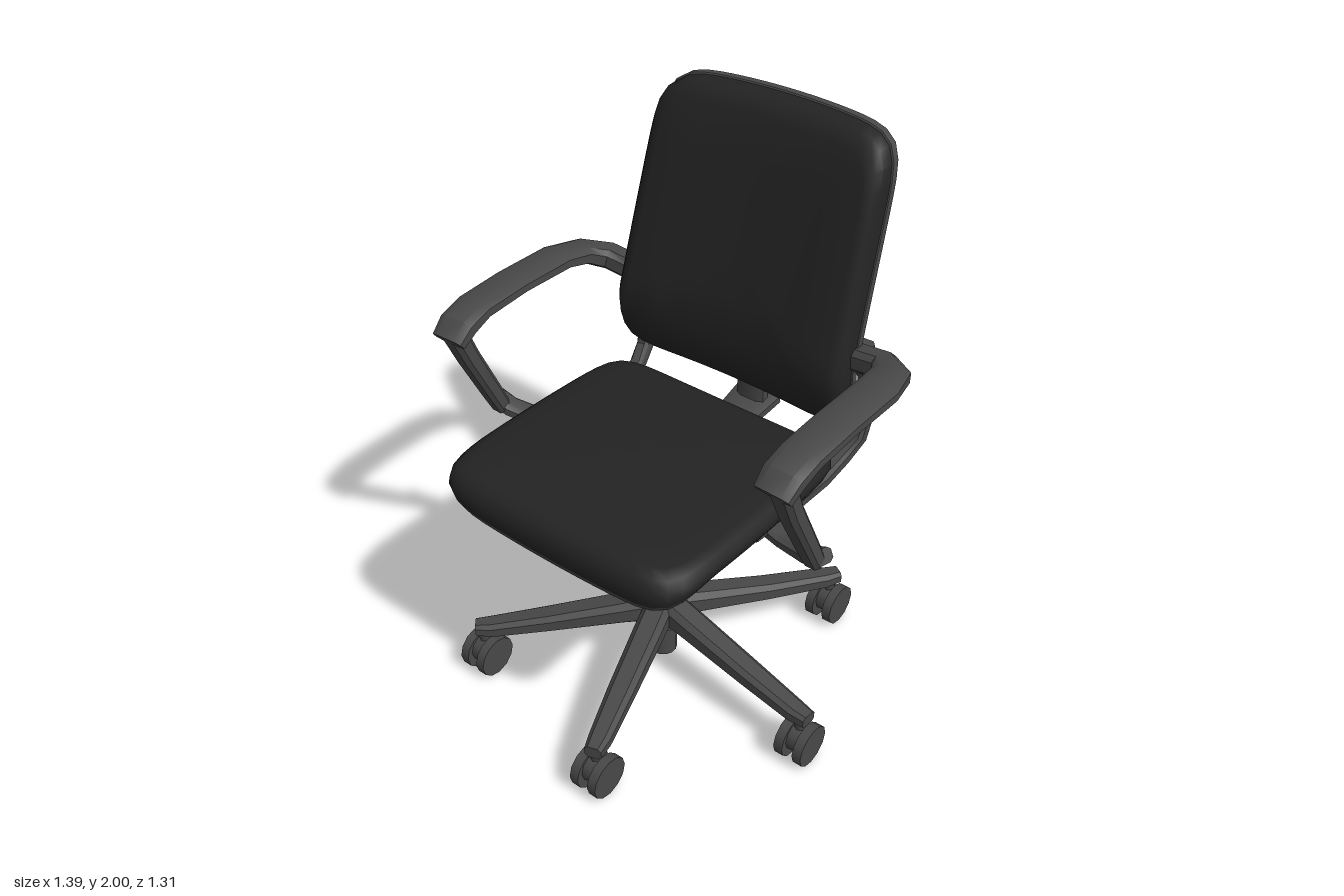
import * as THREE from 'three';
import { toCreasedNormals } from 'three/addons/utils/BufferGeometryUtils.js';

const darkFabric = new THREE.MeshStandardMaterial({ color: 0x232323 });
const greyPlastic = new THREE.MeshStandardMaterial({ color: 0x484848 });
darkFabric.name = 'dark fabric';
greyPlastic.name = 'grey plastic';

function build(pos, idx, crease = 0.7) {
  const g = new THREE.BufferGeometry();
  g.setAttribute('position', new THREE.Float32BufferAttribute(pos, 3));
  g.setIndex(idx);
  return toCreasedNormals(g, crease);
}

// Rounded-square outline, from -1 to 1 both ways
function roundedOutline(n = 9, count = 80) {
  return Array.from({ length: count }, (_, i) => {
    const a = (i / count) * Math.PI * 2, c = Math.cos(a), s = Math.sin(a);
    const r = 1 / Math.pow(Math.abs(c) ** n + Math.abs(s) ** n, 1 / n);
    return [c * r, s * r];
  });
}

// Stacks scaled outlines [scale, depth] and bends them by warp(u, v, depth)
function slab(outline, layers, warp) {
  const pos = [], idx = [], n = outline.length;
  for (const [k, d] of layers) for (const [u, v] of outline) pos.push(...warp(u * k, v * k, d));
  for (let i = 0; i < layers.length - 1; i++) for (let j = 0; j < n; j++) {
    const j2 = (j + 1) % n, a = i * n + j, b = i * n + j2, c = a + n, d = b + n;
    if (layers[i + 1][0] > 0) idx.push(a, c, d);
    if (layers[i][0] > 0) idx.push(a, d, b);
  }
  return build(pos, idx);
}

// Chamfered bar through points [x, y, z, width, height]
function bar(points, sideX = false) {
  const pos = [], idx = [], last = points.length - 1;
  const P = points.map(p => new THREE.Vector3(p[0], p[1], p[2]));
  const ring = [[1, -.55], [1, .55], [.6, 1], [-.6, 1], [-1, .55], [-1, -.55], [-.6, -1], [.6, -1]];
  P.forEach((p, i) => {
    const t = P[Math.min(i + 1, last)].clone().sub(P[Math.max(i - 1, 0)]).normalize();
    const s = sideX ? new THREE.Vector3(1, 0, 0) : t.clone().cross(new THREE.Vector3(0, 1, 0));
    s.addScaledVector(t, -s.dot(t)).normalize();
    const n = t.clone().cross(s);
    for (const [a, b] of ring) {
      const q = p.clone().addScaledVector(s, a * points[i][3] / 2).addScaledVector(n, b * points[i][4] / 2);
      pos.push(q.x, q.y, q.z);
    }
  });
  for (let i = 0; i < last; i++) for (let j = 0; j < 8; j++) {
    const a = i * 8 + j, b = i * 8 + (j + 1) % 8;
    idx.push(a, b, b + 8, a, b + 8, a + 8);
  }
  for (let j = 1; j < 7; j++) idx.push(0, j + 1, j, last * 8, last * 8 + j, last * 8 + j + 1);
  return build(pos, idx, 0.6);
}

// Backrest bend: leans back above the lumbar line, hollow across its width
function backWarp(u, v, d) {
  const y = 1.52 + v * 0.48;
  const lean = y > 1.27 ? -0.3 - 0.28 * (y - 1.27) : -0.3 - 0.9 * (1.27 - y) ** 2;
  return [u * (0.447 - 0.018 * v), y - 0.015 * u * u * Math.max(v, 0), lean - 0.025 + 0.035 * u * u + d];
}

// Seat bend: slopes to the rear, front edge rolls down, sides lift
function seatWarp(u, v, d) {
  const z = 0.11 - v * 0.46, nose = Math.max(0, z - 0.32) / 0.25;
  const low = Math.min(1, Math.max(0, -d / 0.1));
  return [u * (0.49 - 0.015 * v * v), 1.02 + 0.035 * z + d - nose * nose * (0.012 + 0.045 * low) + 0.025 * u * u * low, z];
}

export function createModel() {
  const chair = new THREE.Group();
  const add = (name, geo, mat, parent = chair) => {
    const m = new THREE.Mesh(geo, mat);
    m.name = name;
    parent.add(m);
    return m;
  };
  const cyl = (r1, r2, y0, y1, seg = 14) => new THREE.CylinderGeometry(r1, r2, y1 - y0, seg).translate(0, (y0 + y1) / 2, 0);
  const outline = roundedOutline();

  // Backrest: cushion, rear frame ring, inner panel
  add('backCushion', slab(outline, [[0, 0], [.3, 0], [.6, 0], [.88, -.003], [.95, -.014], [.985, -.035],
    [.99, -.085], [.9, -.095], [.6, -.095], [.3, -.095], [0, -.095]], backWarp), darkFabric);
  add('backFrame', slab(outline, [[.8, -.09], [.97, -.08], [1, -.085], [1, -.11], [.97, -.13], [.86, -.13],
    [.83, -.12], [.82, -.09]], backWarp), greyPlastic);
  const panelOutline = roundedOutline(6).map(([u, v]) =>
    v < -0.5 && Math.abs(u) < 0.5 ? [u, v + 0.5 * (1 - (u / 0.5) ** 2)] : [u, v]);
  add('backPanel', slab(panelOutline, [[1, -.095], [1, -.104], [.6, -.104], [.3, -.104], [0, -.104]],
    (u, v, d) => backWarp(u * .66, v * .72 + .02, d)), greyPlastic);

  // Seat: cushion and shell rim below
  add('seatCushion', slab(outline, [[0, .008], [.4, .007], [.7, .004], [.88, -.002], [.95, -.012], [.99, -.035],
    [1, -.06], [.985, -.085], [.8, -.09], [.4, -.09], [0, -.09]], seatWarp), darkFabric);
  add('seatShell', slab(outline, [[.7, -.085], [.96, -.078], [.985, -.085], [.965, -.105], [.9, -.12], [.74, -.12],
    [.7, -.085]], seatWarp), greyPlastic);

  // Tilt mechanism under the seat
  const side = new THREE.Shape([[.33, .93], [.29, .86], [.22, .82], [.05, .785], [-.28, .77], [-.28, .93]]
    .map(p => new THREE.Vector2(...p)));
  add('tiltMechanism', new THREE.ExtrudeGeometry(side, { depth: .26, bevelEnabled: false })
    .translate(0, 0, -.13).rotateY(-Math.PI / 2), darkFabric);
  add('tensionKnob', bar([[0, .83, .13, .08, .08], [0, .72, .17, .09, .09], [0, .68, .19, .11, .1],
    [0, .645, .2, .085, .08]], true), greyPlastic);

  // Central spine joining the mechanism and the backrest
  add('spineFoot', bar([[0, .86, -.24, .15, .05], [0, .89, -.42, .15, .045], [0, .912, -.55, .17, .045]], true), greyPlastic);
  add('spine', bar([[0, .89, -.5, .11, .05], [0, 1.0, -.5, .11, .05], [0, 1.15, -.475, .11, .05],
    [0, 1.28, -.44, .1, .05], [0, 1.36, -.44, .08, .03]], true), greyPlastic);

  // Armrests and side struts, mirrored
  for (const s of [1, -1]) {
    const arm = new THREE.Group();
    arm.name = s > 0 ? 'leftArm' : 'rightArm';
    chair.add(arm);
    const put = (name, pts, sideX) => add(name, bar(pts.map(([x, ...r]) => [x * s, ...r]), sideX), greyPlastic, arm);
    put('armPad', [[.625, 1.305, .31, .12, .05], [.627, 1.345, .26, .13, .06], [.63, 1.37, .18, .13, .05],
      [.632, 1.378, 0, .13, .045], [.632, 1.372, -.22, .13, .05], [.61, 1.355, -.33, .12, .06],
      [.55, 1.33, -.395, .09, .075], [.44, 1.31, -.41, .08, .08]]);
    put('armPost', [[.635, 1.34, .285, .075, .07], [.635, 1.2, .225, .07, .065], [.642, 1.0, .125, .065, .06],
      [.645, .92, .085, .06, .055]], true);
    put('armLink', [[.67, .945, .08, .07, .05], [.62, .915, .065, .075, .045], [.5, .885, .02, .08, .04],
      [.38, .9, 0, .08, .04]]);
    put('sideStrut', [[.45, 1.34, -.44, .06, .06], [.455, 1.2, -.475, .05, .06], [.455, 1.06, -.49, .05, .06],
      [.45, .97, -.465, .05, .06], [.435, .92, -.4, .05, .055], [.43, .9, -.28, .06, .05],
      [.42, .895, -.05, .06, .045], [.42, .91, .1, .06, .04]], true);
  }

  // Gas lift column
  add('column', cyl(.06, .06, .3, .59), greyPlastic);
  add('hub', cyl(.06, .085, .24, .35), greyPlastic);
  add('columnStub', cyl(.05, .05, .09, .26), greyPlastic);
  add('piston', cyl(.03, .03, .58, .74), darkFabric);
  add('pistonCollar', cyl(.075, .06, .72, .79), darkFabric);

  // Five legs with twin-wheel casters
  const feet = [[.18, .58], [-.49, .41], [.63, .055], [.335, -.58], [-.31, -.58]];
  for (const [x, z] of feet) {
    const leg = new THREE.Group();
    leg.name = 'leg';
    chair.add(leg);
    const r = Math.hypot(x, z), at = (d, y, w, h) => [x / r * d, y, z / r * d, w, h];
    add('legArm', bar([at(.02, .3, .1, .11), at(.15, .28, .1, .09), at(.4, .235, .09, .07),
      at(r - .03, .2, .075, .06), at(r + .03, .198, .06, .05)]), greyPlastic, leg);
    const caster = new THREE.Group();
    caster.name = 'caster';
    caster.position.set(x, 0, z);
    leg.add(caster);
    add('casterStem', cyl(.022, .022, .1, .2, 8), greyPlastic, caster);
    add('casterHousing', new THREE.CylinderGeometry(.055, .055, .05, 10).rotateZ(Math.PI / 2).translate(0, .095, 0), greyPlastic, caster);
    for (const s of [1, -1])
      add('wheel', new THREE.CylinderGeometry(.077, .077, .034, 12).rotateZ(Math.PI / 2).translate(s * .037, .08, 0), greyPlastic, caster);
  }
  return chair;
}
